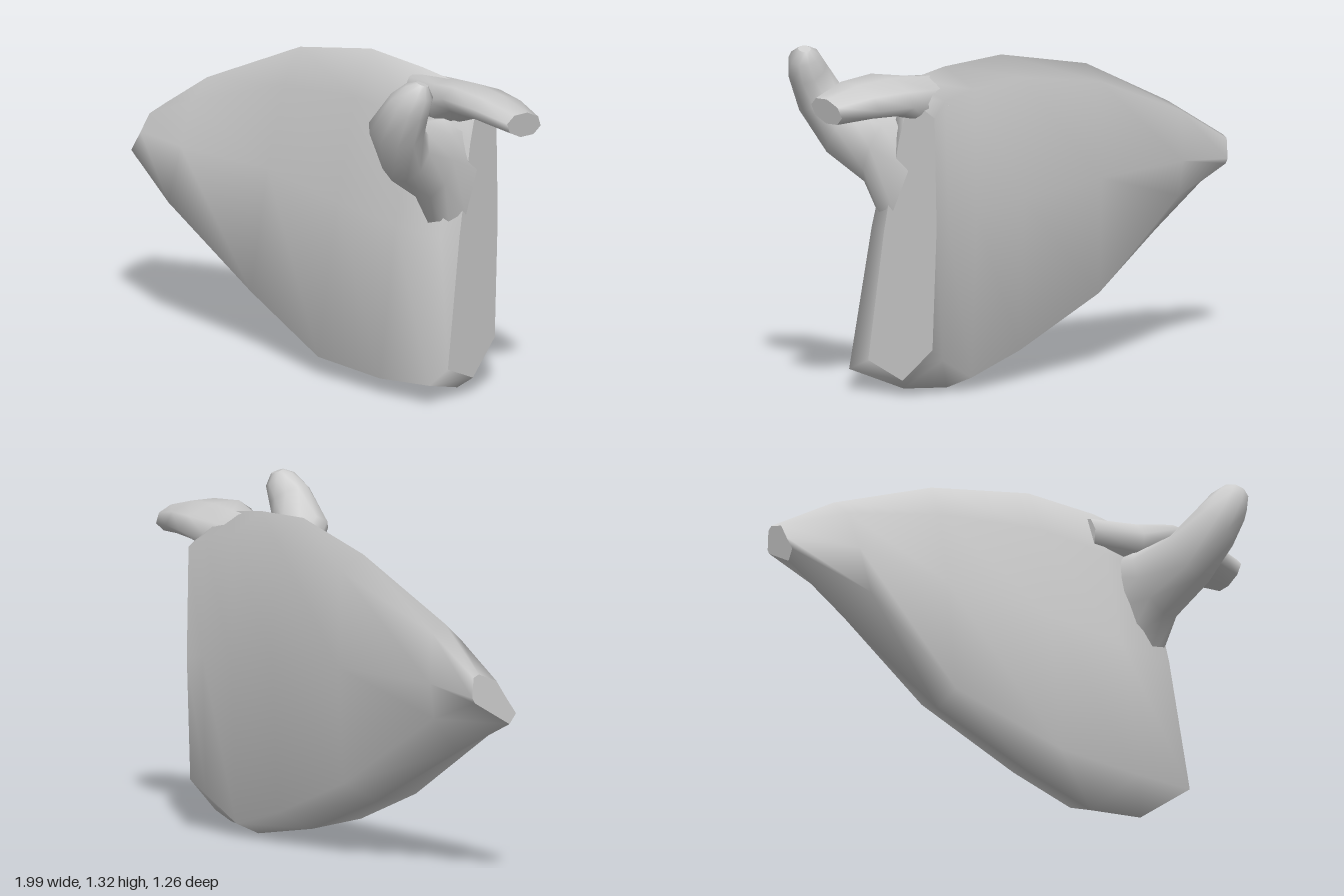
import * as THREE from 'three';

const material = new THREE.MeshStandardMaterial({ color: 0xcccccc });

// Skins a list of rings (each clockwise seen from the far end) and closes both ends.
function loft(name, rings) {
  const n = rings[0].length;
  const pos = [];
  const index = [];
  rings.forEach((ring) => ring.forEach((p) => pos.push(p.x, p.y, p.z)));
  for (let i = 0; i < rings.length - 1; i++) {
    for (let j = 0; j < n; j++) {
      const a = i * n + j;
      const b = i * n + ((j + 1) % n);
      index.push(a, a + n, b, b, a + n, b + n);
    }
  }
  [rings[0], rings[rings.length - 1]].forEach((ring, end) => {
    const base = pos.length / 3;
    const mid = ring.reduce((s, p) => s.add(p), new THREE.Vector3()).divideScalar(n);
    [...ring, mid].forEach((p) => pos.push(p.x, p.y, p.z));
    for (let j = 0; j < n; j++) {
      const k = (j + 1) % n;
      index.push(base + n, base + (end ? k : j), base + (end ? j : k));
    }
  });
  const geometry = new THREE.BufferGeometry();
  geometry.setAttribute('position', new THREE.Float32BufferAttribute(pos, 3));
  geometry.setIndex(index);
  geometry.computeVertexNormals();
  const mesh = new THREE.Mesh(geometry, material);
  mesh.name = name;
  return mesh;
}

// Tapered limb along stations [x, y, z, half width, half thickness].
function limb(name, stations, widthHint, sides = 10) {
  const centres = stations.map((s) => new THREE.Vector3(s[0], s[1], s[2]));
  const rings = stations.map((s, i) => {
    const before = centres[Math.max(i - 1, 0)];
    const after = centres[Math.min(i + 1, centres.length - 1)];
    const t = after.clone().sub(before).normalize();
    const u = widthHint.clone().addScaledVector(t, -widthHint.dot(t)).normalize();
    const v = u.clone().cross(t);
    return Array.from({ length: sides }, (_, j) => {
      const angle = (j / sides) * Math.PI * 2;
      return centres[i].clone()
        .addScaledVector(u, Math.cos(angle) * s[3])
        .addScaledVector(v, Math.sin(angle) * s[4]);
    });
  });
  return loft(name, rings);
}

// One slice of the blade: back and front corners in plan, the top and bottom
// edges as height and position from back (0) to front (1), then the relative
// heights of the lower back and lower front corners.
function bladeRing([xb, zb, xf, zf, yTop, tTop, yBot, tBot, hBack, hFront]) {
  const at = (h, t) => new THREE.Vector3(
    THREE.MathUtils.lerp(xb, xf, t),
    THREE.MathUtils.lerp(yBot, yTop, h),
    THREE.MathUtils.lerp(zb, zf, t));
  return [
    at(1, tTop), at(0.94, 0.03), at(0.55, 0), at(hBack, 0.06),
    at(0, tBot), at(hFront, 1), at(0.52, 0.77), at(0.85, 0.55),
  ];
}

export function createModel() {
  const group = new THREE.Group();
  group.name = 'shoulderBlade';

  // Broad triangular blade, thin at the far edge and thick at the socket end
  const slices = [
    [-0.90, -0.63, -1.00, -0.47, 0.79, 0.15, 0.59, 0.85, 0.45, 0.20],
    [-0.66, -0.53, -0.76, -0.26, 0.95, 0.25, 0.45, 0.45, 0.28, 0.10],
    [-0.17, -0.37, -0.36, -0.11, 1.16, 0.32, 0.21, 0.50, 0.08, 0.02],
    [0.22, -0.19, 0.02, 0.14, 1.245, 0.35, 0.05, 0.45, 0.06, 0.02],
    [0.46, -0.08, 0.34, 0.30, 1.235, 0.38, 0.0, 0.35, 0.04, 0.05],
    [0.62, -0.02, 0.58, 0.39, 1.21, 0.40, 0.02, 0.45, 0.10, 0.05],
    [0.70, 0.00, 0.62, 0.30, 1.15, 0.40, 0.06, 0.50, 0.12, 0.06],
  ];
  group.add(loft('blade', slices.map(bladeRing)));

  // Flat overhanging shelf at the upper outer corner
  group.add(limb('outerShelf', [
    [0.38, 1.13, 0.05, 0.06, 0.08],
    [0.56, 1.13, 0.13, 0.12, 0.09],
    [0.69, 1.165, 0.20, 0.16, 0.065],
    [0.82, 1.16, 0.28, 0.135, 0.06],
    [0.955, 1.135, 0.355, 0.085, 0.05],
  ], new THREE.Vector3(-0.45, 0.2, 0.88), 8));

  // Hook reaching forward and bending up
  group.add(limb('frontHook', [
    [0.57, 0.86, 0.10, 0.10, 0.30],
    [0.53, 0.94, 0.27, 0.11, 0.16],
    [0.50, 1.00, 0.43, 0.10, 0.125],
    [0.505, 1.11, 0.535, 0.11, 0.09],
    [0.57, 1.22, 0.56, 0.085, 0.075],
    [0.61, 1.28, 0.56, 0.06, 0.06],
    [0.62, 1.31, 0.555, 0.025, 0.025],
  ], new THREE.Vector3(1, 0, 0)));

  return group;
}
